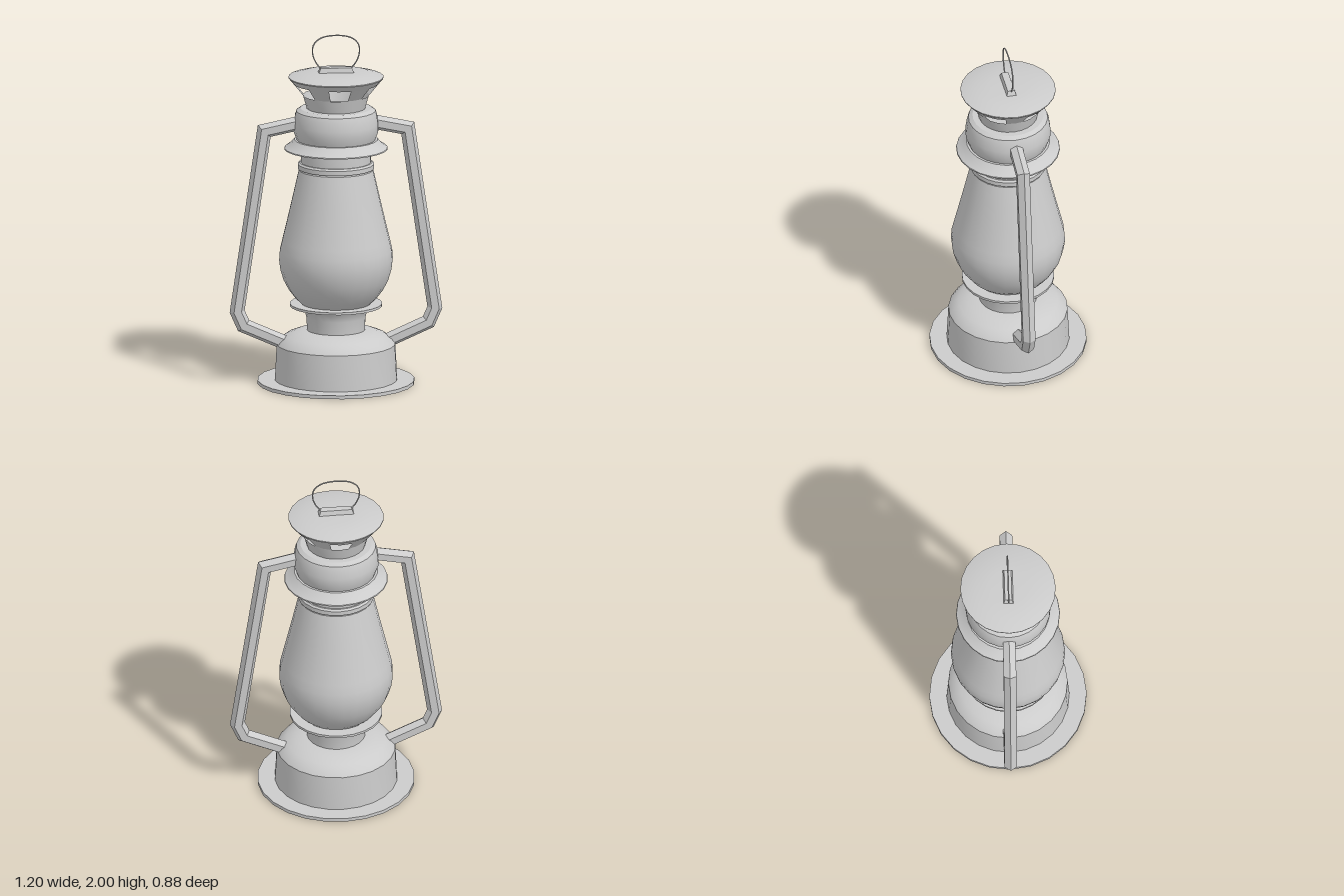
import * as THREE from 'three';
import { toCreasedNormals } from 'three/addons/utils/BufferGeometryUtils.js';

const SEGMENTS = 24;
const material = new THREE.MeshStandardMaterial({ color: 0xcccccc, side: THREE.DoubleSide });
const flatMaterial = new THREE.MeshStandardMaterial({ color: 0xcccccc, flatShading: true });

export function createModel() {
  const lantern = new THREE.Group();
  lantern.name = 'lantern';

  const add = (name, geometry, mat = material, parent = lantern) => {
    const mesh = new THREE.Mesh(geometry, mat);
    mesh.name = name;
    parent.add(mesh);
    return mesh;
  };

  // Turned part from [radius, height] pairs, listed bottom to top
  const turned = (name, profile) => {
    const points = profile.map(([r, y]) => new THREE.Vector2(r, y));
    return add(name, toCreasedNormals(new THREE.LatheGeometry(points, SEGMENTS), 0.55));
  };

  // Base: floor plate, fuel tank with a domed top, burner neck and its plate
  turned('basePlate', [[0, 0], [0.442, 0], [0.442, 0.02], [0, 0.02]]);
  turned('fuelTank', [[0.345, 0.02], [0.335, 0.225], [0.315, 0.25], [0.28, 0.275],
    [0.225, 0.296], [0.17, 0.305], [0, 0.305]]);
  turned('burnerNeck', [[0.163, 0.3], [0.167, 0.38], [0.178, 0.42], [0.2, 0.446]]);
  turned('burnerPlate', [[0, 0.443], [0.26, 0.443], [0.26, 0.457], [0, 0.457]]);

  // Glass globe
  turned('globe', [[0.195, 0.457], [0.228, 0.488], [0.267, 0.54], [0.296, 0.595], [0.314, 0.655],
    [0.321, 0.71], [0.317, 0.765], [0.304, 0.82], [0.28, 0.92], [0.245, 1.07], [0.21, 1.225], [0.2, 1.234]]);
  turned('globeCollar', [[0.195, 1.234], [0.215, 1.234], [0.215, 1.26], [0.205, 1.27], [0.197, 1.27], [0.197, 1.346]]);

  // Hood: brim and bell
  turned('brim', [[0.197, 1.346], [0.292, 1.346], [0.29, 1.352], [0.262, 1.37], [0.235, 1.4], [0.215, 1.4]]);
  turned('bell', [[0.222, 1.4], [0.24, 1.45], [0.239, 1.49], [0.232, 1.54], [0.223, 1.565], [0.2, 1.58], [0, 1.58]]);

  // Chimney: neck, six posts between open vents, flared rim and cap
  turned('chimneyNeck', [[0.165, 1.58], [0.186, 1.655]]);
  const posts = new THREE.Group();
  posts.name = 'ventPosts';
  lantern.add(posts);
  const postProfile = [new THREE.Vector2(0.186, 1.655), new THREE.Vector2(0.24, 1.722)];
  for (let i = 0; i < 6; i++) {
    const start = THREE.MathUtils.degToRad(15 + 60 * i);
    add('ventPost', new THREE.LatheGeometry(postProfile, 2, start, Math.PI / 6), material, posts);
  }
  turned('cap', [[0.24, 1.722], [0.268, 1.755], [0.268, 1.76], [0.19, 1.781], [0.1, 1.785], [0, 1.786]]);

  // Carrying loop: tapered foot and thin wire
  const foot = new THREE.BoxGeometry(0.2, 0.03, 0.056);
  const p = foot.attributes.position;
  for (let i = 0; i < p.count; i++) {
    if (p.getY(i) > 0) p.setXYZ(i, p.getX(i) * 0.88, p.getY(i), p.getZ(i) * 0.7);
  }
  add('loopFoot', foot, flatMaterial).position.y = 1.797;
  const half = [[0.085, 1.805], [0.115, 1.845], [0.132, 1.895], [0.126, 1.945], [0.085, 1.982]];
  const wirePath = [...half.map(([x, y]) => [-x, y]), [0, 1.996], ...half.slice().reverse()];
  const wire = new THREE.CatmullRomCurve3(wirePath.map(([x, y]) => new THREE.Vector3(x, y, 0)));
  add('wireLoop', new THREE.TubeGeometry(wire, 40, 0.004, 6));

  // Side tubes, left and right
  for (const side of [1, -1]) {
    const path = [[0.19, 1.5], [0.405, 1.455], [0.558, 0.42], [0.522, 0.338], [0.29, 0.235]]
      .map(([x, y]) => new THREE.Vector2(x * side, y));
    add(side > 0 ? 'leftSideTube' : 'rightSideTube', miteredTube(path, 0.041, side), flatMaterial);
  }
  return lantern;
}

// Hexagonal tube along a path in the xy plane, mitred at each bend
function miteredTube(path, radius, side) {
  const positions = [], indices = [];
  const last = path.length - 1;
  path.forEach((point, i) => {
    const before = point.clone().sub(path[Math.max(i - 1, 0)]).normalize();
    const after = path[Math.min(i + 1, last)].clone().sub(point).normalize();
    const along = before.clone().add(after).normalize();
    const stretch = 1 / along.dot(i < last ? after : before);
    // Outward normal of the bend, pointing away from the globe
    const nx = -along.y * side, ny = along.x * side;
    for (let k = 0; k < 6; k++) {
      const a = (k * Math.PI) / 3;
      const out = Math.cos(a) * radius * stretch;
      positions.push(point.x + nx * out, point.y + ny * out, Math.sin(a) * radius);
    }
  });
  const tri = (a, b, c) => (side > 0 ? indices.push(a, c, b) : indices.push(a, b, c));
  for (let i = 0; i < last; i++) {
    for (let k = 0; k < 6; k++) {
      const a = i * 6 + k, b = i * 6 + (k + 1) % 6;
      tri(a, a + 6, b);
      tri(b, a + 6, b + 6);
    }
  }
  // End caps
  for (let k = 1; k < 5; k++) {
    tri(0, k, k + 1);
    tri(last * 6, last * 6 + k + 1, last * 6 + k);
  }
  const geometry = new THREE.BufferGeometry();
  geometry.setAttribute('position', new THREE.Float32BufferAttribute(positions, 3));
  geometry.setIndex(indices);
  geometry.computeVertexNormals();
  return geometry;
}
